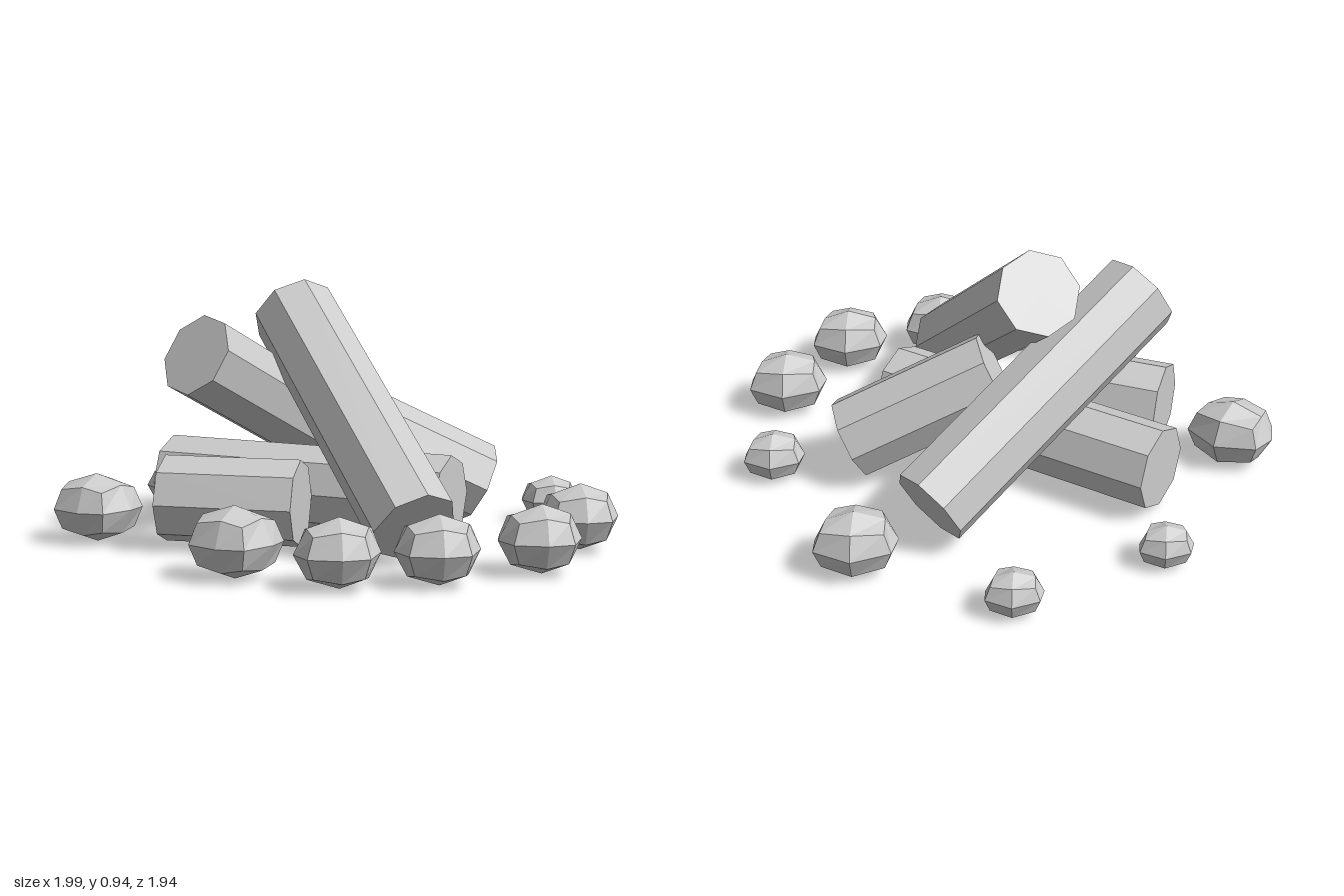
import * as THREE from 'three';

const material = new THREE.MeshStandardMaterial({ color: 0xcccccc, flatShading: true });

// Eight-sided log between two end centres, one ridge facing up unless rolled
function makeLog(name, start, end, roll = 0) {
  const a = new THREE.Vector3(...start);
  const b = new THREE.Vector3(...end);
  const axis = b.clone().sub(a);
  const geometry = new THREE.CylinderGeometry(0.157, 0.157, axis.length(), 8);
  geometry.rotateY(roll);
  axis.normalize();
  const up = new THREE.Vector3(0, 1, 0).addScaledVector(axis, -axis.y).normalize();
  const side = new THREE.Vector3().crossVectors(axis, up);
  const log = new THREE.Mesh(geometry, material);
  log.name = name;
  log.quaternion.setFromRotationMatrix(new THREE.Matrix4().makeBasis(side, axis, up));
  log.position.copy(a).add(b).multiplyScalar(0.5);
  return log;
}

// Uneven stone outline (x, z), at eight steps around the middle
const outline = [
  [0.144, 0], [0.096, 0.118], [0, 0.139], [-0.118, 0.107],
  [-0.16, 0.016], [-0.139, -0.08], [0.005, -0.144], [0.144, -0.08],
];

// Subdivided box rounded into a faceted stone that follows the outline
function makeStoneGeometry() {
  const geometry = new THREE.BoxGeometry(2, 2, 2, 2, 2, 2);
  const position = geometry.attributes.position;
  const v = new THREE.Vector3();
  for (let i = 0; i < position.count; i++) {
    v.fromBufferAttribute(position, i).normalize();
    const step = (Math.round(Math.atan2(v.z, v.x) / (Math.PI / 4)) + 8) % 8;
    const reach = Math.hypot(v.x, v.z);
    const [x, z] = outline[step];
    position.setXYZ(i, x * reach, v.y * 0.125, z * reach);
  }
  geometry.computeVertexNormals();
  return geometry;
}

export function createModel() {
  const model = new THREE.Group();
  model.name = 'campfire';

  // Stacked logs: two lying flat, three leaning
  const logs = new THREE.Group();
  logs.name = 'logs';
  logs.add(
    makeLog('lyingLog', [-0.73, 0.185, 0.055], [0.41, 0.185, 0.055]),
    makeLog('shortLyingLog', [-0.53, 0.185, 0.467], [-0.04, 0.185, 0.365]),
    makeLog('frontLeaningLog', [0.445, 0.163, 0.485], [-0.275, 0.823, -0.06]),
    makeLog('backLeaningLog', [-0.15, 0.175, -0.585], [-0.46, 0.695, 0.36], 0.19),
    makeLog('shortLeaningLog', [0.355, 0.17, -0.346], [-0.08, 0.435, -0.035]),
  );
  model.add(logs);

  // Ring of stones: x, z, size, turn
  const stones = new THREE.Group();
  stones.name = 'stoneRing';
  const stoneGeometry = makeStoneGeometry();
  const turn = Math.PI / 6;
  const places = [
    [-0.06, 0.83, 1, 0], [-0.8, 0.5, 1, 0],
    [0.32, 0.82, 0.96, turn], [0.6, 0.64, 0.96, turn],
    [0.85, 0.335, 0.96, turn], [0.85, -0.085, 0.96, turn],
    [-0.005, -0.84, 0.96, turn], [0.597, -0.51, 0.72, turn],
    [-0.6, -0.76, 0.66, turn], [-0.905, -0.24, 0.63, turn],
  ];
  places.forEach(([x, z, size, yaw], i) => {
    const stone = new THREE.Mesh(stoneGeometry, material);
    stone.name = `stone${i + 1}`;
    stone.position.set(x, 0.01 + 0.125 * size, z);
    stone.rotation.y = yaw;
    stone.scale.setScalar(size);
    stones.add(stone);
  });
  model.add(stones);

  return model;
}
